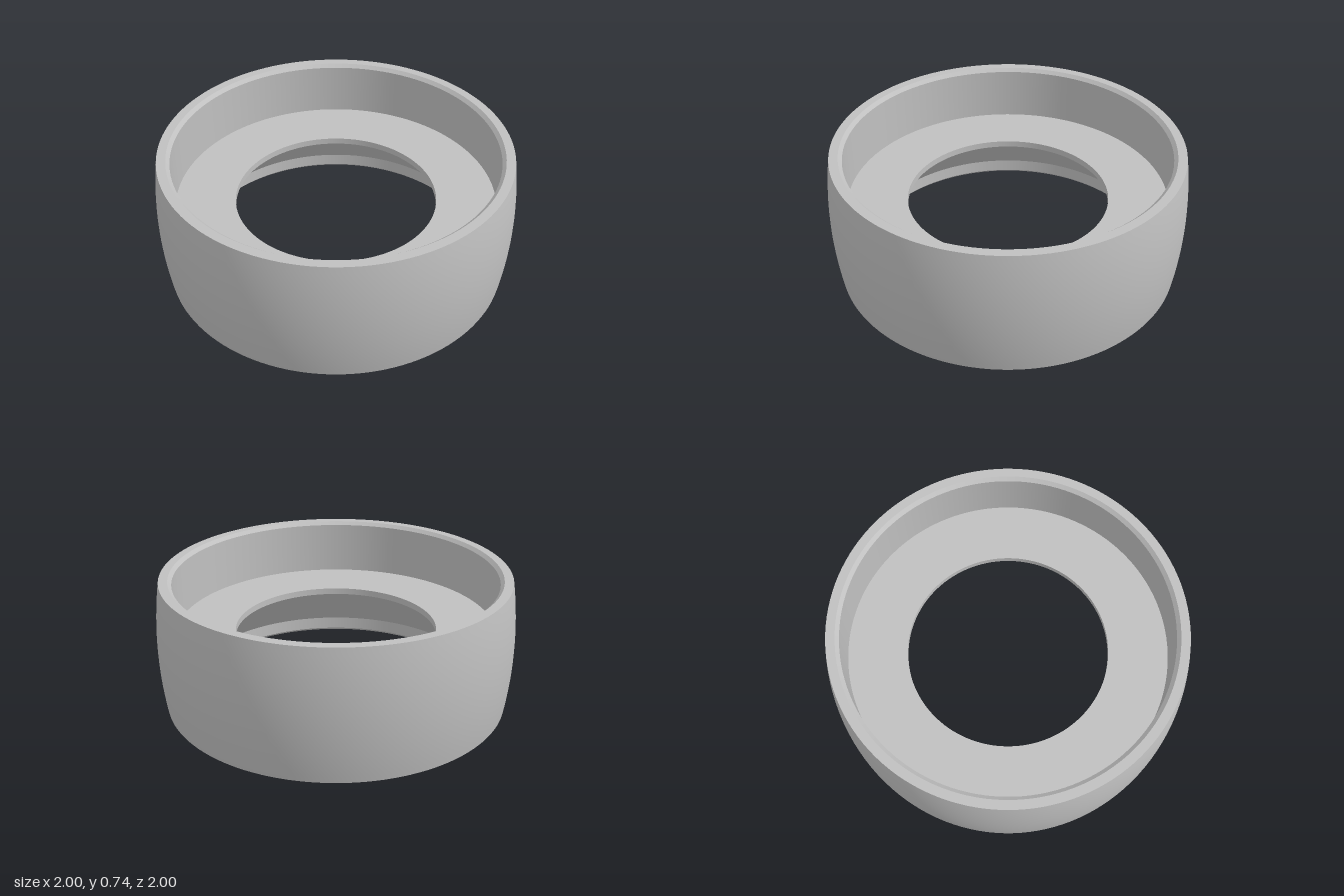
import * as THREE from 'three';

const SEGMENTS = 128;

export function createModel() {
  const group = new THREE.Group();
  group.name = 'ring';
  const grey = new THREE.MeshStandardMaterial({ color: 0xc0c0c0 });
  grey.name = 'satin grey';

  // Each face is its own lathe, so the edges between faces stay sharp.
  const addFace = (name, points) => {
    const profile = points.map(([r, y]) => new THREE.Vector2(r, y));
    const mesh = new THREE.Mesh(new THREE.LatheGeometry(profile, SEGMENTS), grey);
    mesh.name = name;
    group.add(mesh);
  };

  // Barrel-shaped outer wall: a shallow arc bulging to radius 1 at mid height
  const height = 0.735, edge = 0.97, half = height / 2, bulge = 1 - edge;
  const arcRadius = (half * half + bulge * bulge) / (2 * bulge);
  const arc = [];
  for (let i = 0; i <= 20; i++) {
    const y = (height * i) / 20;
    arc.push([1 - arcRadius + Math.sqrt(arcRadius ** 2 - (y - half) ** 2), y]);
  }
  addFace('outerWall', arc);

  // Remaining profile corners, from the top rim down through the bore and back
  const corners = [
    [edge, height], [0.92, height], [0.9, 0.716], [0.9, 0.412], [0.565, 0.412],
    [0.565, 0.375], [0.85, 0.09], [0.85, 0.016], [0.866, 0], [edge, 0],
  ];
  const names = [
    'topRim', 'topChamfer', 'upperWall', 'floor', 'bore',
    'lowerCone', 'lowerWall', 'bottomChamfer', 'bottomRim',
  ];
  names.forEach((name, i) => addFace(name, [corners[i], corners[i + 1]]));

  return group;
}
